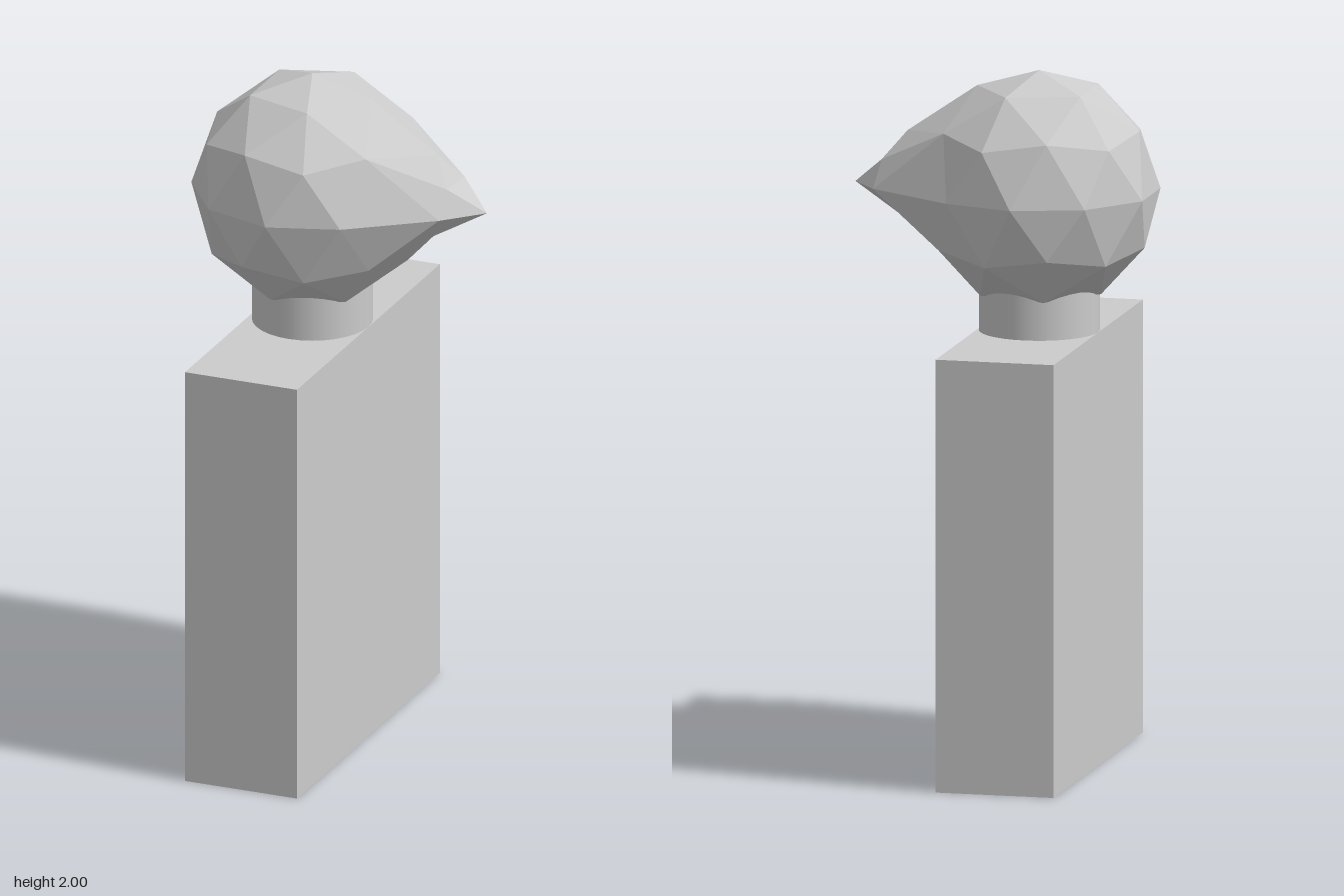
import * as THREE from 'three';

const CX = -0.105, HEAD_Y = 1.655, R = 0.345;
const grey = (flatShading) => new THREE.MeshStandardMaterial({ color: 0xcccccc, flatShading });

// Low-poly ball whose front patch is refined and pulled out into a beak
function headGeometry() {
  const ball = new THREE.IcosahedronGeometry(1, 1);
  ball.rotateZ(-Math.atan(2 / (1 + Math.sqrt(5)))); // one corner straight up
  const pos = ball.attributes.position;

  const isBeak = (v) => v.x > 0.8; // the four corners around the beak
  const place = (v) => {
    const p = v.clone().multiplyScalar(R);
    if (isBeak(v)) {
      if (v.y > 0.2) p.x = 0.385;
      else if (v.y > -0.2) p.x = v.z < 0 ? 0.46 : 0.435;
    }
    return p;
  };
  // Split point of an edge between two beak corners, otherwise null
  const split = (a, b) => {
    if (!isBeak(a) || !isBeak(b)) return null;
    const m = place(a).add(place(b)).multiplyScalar(0.5);
    if (Math.abs(m.z) < 0.02) return new THREE.Vector3(0.538, 0, 0); // beak tip
    if (m.y > 0) m.x += 0.025;
    return m;
  };

  const out = [];
  const tri = (...pts) => pts.forEach((p) => out.push(p.x, p.y, p.z));
  for (let i = 0; i < pos.count; i += 3) {
    const v = [0, 1, 2].map((k) => new THREE.Vector3().fromBufferAttribute(pos, i + k));
    const p = v.map(place);
    const m = v.map((a, k) => split(a, v[(k + 1) % 3]));
    const k = m.findIndex((e) => e);
    if (k < 0) {
      tri(...p);
    } else if (m.every((e) => e)) {
      tri(p[0], m[0], m[2]);
      tri(p[1], m[1], m[0]);
      tri(p[2], m[2], m[1]);
      tri(m[0], m[1], m[2]);
    } else {
      const a = p[k], b = p[(k + 1) % 3], c = p[(k + 2) % 3];
      tri(a, m[k], c);
      tri(m[k], b, c);
    }
  }
  const g = new THREE.BufferGeometry();
  g.setAttribute('position', new THREE.Float32BufferAttribute(out, 3));
  g.computeVertexNormals();
  return g;
}

export function createModel() {
  const model = new THREE.Group();
  const add = (name, geometry, y, flat) => {
    const mesh = new THREE.Mesh(geometry, grey(flat));
    mesh.name = name;
    mesh.position.set(CX, y, 0);
    model.add(mesh);
  };

  add('body', new THREE.BoxGeometry(0.345, 1.25, 1.04), 0.625, true);
  add('neck', new THREE.CylinderGeometry(0.172, 0.172, 0.15, 32), 1.325, false);
  add('head', headGeometry(), HEAD_Y, true);
  return model;
}
